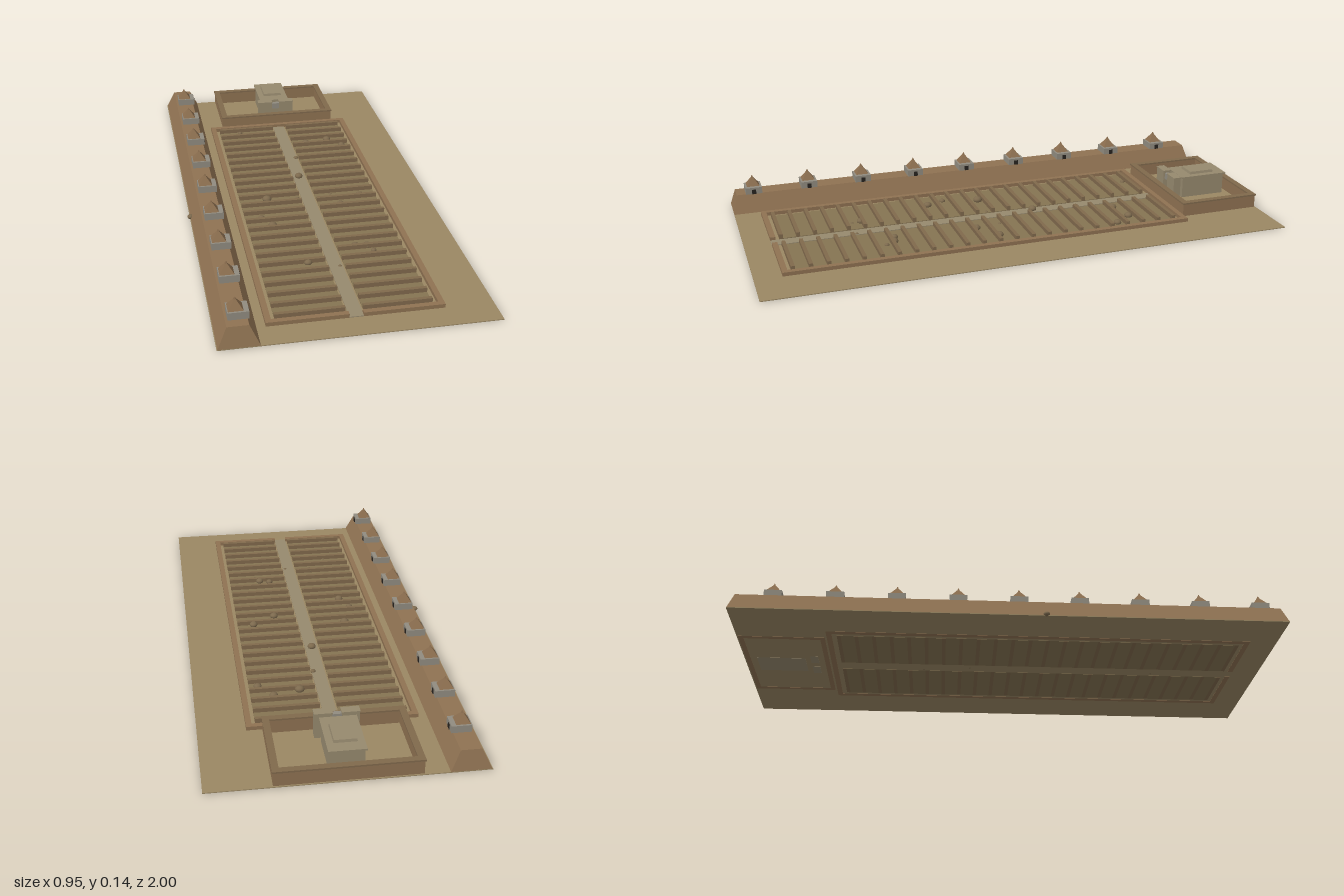
import * as THREE from 'three';

const mat = (color) => new THREE.MeshStandardMaterial({ color });

export function createModel() {
  const model = new THREE.Group();
  const earth = mat(0x9a8763), rammed = mat(0x8f7252), darkEarth = mat(0x80694c);
  const floor = mat(0x857452), stone = mat(0x96896e), grey = mat(0x918c80);
  const roofBrown = mat(0x8a6d4e), dark = mat(0x26221e), rockMat = mat(0x7d6a4e);

  const add = (parent, name, geometry, material, x, y, z) => {
    const mesh = new THREE.Mesh(geometry, material);
    mesh.name = name;
    mesh.position.set(x, y, z);
    parent.add(mesh);
    return mesh;
  };
  // box given by its ranges on each axis
  const block = (parent, name, material, [x0, x1], [y0, y1], [z0, z1]) =>
    add(parent, name, new THREE.BoxGeometry(x1 - x0, y1 - y0, z1 - z0), material,
      (x0 + x1) / 2, (y0 + y1) / 2, (z0 + z1) / 2);
  // box whose top is pulled in on all four sides
  const tapered = (parent, name, material, w, h, d, inX, inZ, x, y, z) => {
    const g = new THREE.BoxGeometry(w, h, d);
    const p = g.attributes.position;
    for (let i = 0; i < p.count; i++) {
      if (p.getY(i) > 0) {
        p.setX(i, p.getX(i) - Math.sign(p.getX(i)) * inX);
        p.setZ(i, p.getZ(i) - Math.sign(p.getZ(i)) * inZ);
      }
    }
    g.computeVertexNormals();
    return add(parent, name, g, material, x, y + h / 2, z);
  };
  const group = (name) => {
    const g = new THREE.Group();
    g.name = name;
    model.add(g);
    return g;
  };

  block(model, 'ground', earth, [-0.466, 0.472], [0.001, 0.004], [-1, 1]);

  // long rampart with a row of watchtowers
  const rampart = group('rampart');
  tapered(rampart, 'rampartWall', rammed, 0.138, 0.07, 2, 0.033, 0.018, -0.395, 0.003, 0);
  for (let i = 0; i < 9; i++) {
    const tower = new THREE.Group();
    tower.name = 'watchtower';
    tower.position.set(-0.395, 0.073, -0.851 + i * 0.2206);
    rampart.add(tower);
    block(tower, 'towerBody', grey, [-0.028, 0.042], [0, 0.026], [-0.032, 0.032]);
    block(tower, 'towerDoor', dark, [0.038, 0.0445], [0, 0.018], [-0.008, 0.008]);
    tapered(tower, 'towerRoof', roofBrown, 0.05, 0.032, 0.05, 0.022, 0.022, 0, 0.026, 0);
    tapered(tower, 'towerFinial', roofBrown, 0.008, 0.008, 0.008, 0.003, 0.003, 0, 0.057, 0);
  }

  // pit: rim, floor strips, partition walls and centre path
  const pit = group('pit');
  const cx = 0.004;
  for (const s of [-1, 1]) {
    const span = (a, b) => (s > 0 ? [cx + a, cx + b] : [cx - b, cx - a]);
    block(pit, 'sideRim', rammed, span(0.28, 0.3), [0, 0.018], [-0.67, 0.9]);
    block(pit, 'frontRim', rammed, span(0.024, 0.28), [0, 0.018], [0.88, 0.9]);
    const rows = 23, start = -0.625, pitch = 0.0645;
    for (let i = 0; i <= rows; i++) {
      const z = start + i * pitch;
      block(pit, 'partitionWall', darkEarth, span(0.03, 0.266), [0, 0.023], [z - 0.007, z + 0.007]);
      if (i < rows) {
        block(pit, 'trenchFloor', floor, span(0.03, 0.266), [0, 0.007], [z + 0.007, z + pitch - 0.007]);
      }
    }
  }
  block(pit, 'backRim', rammed, [cx - 0.28, cx + 0.28], [0, 0.018], [-0.67, -0.65]);
  block(pit, 'centrePath', stone, [cx - 0.024, cx + 0.024], [0.002, 0.007], [-0.65, 0.9]);

  // walled court, open to the sky
  const court = group('court');
  const walls = [
    ['courtBackWall', -0.241, 0.249, -0.995, -0.977],
    ['courtFrontWall', -0.241, 0.249, -0.695, -0.677],
    ['courtRightWall', -0.241, -0.223, -0.977, -0.695],
    ['courtLeftWall', 0.231, 0.249, -0.977, -0.695],
  ];
  for (const [name, x0, x1, z0, z1] of walls) {
    block(court, name, rammed, [x0, x1], [0, 0.053], [z0, z1]);
    block(court, name + 'Cap', darkEarth, [x0 - 0.003, x1 + 0.003], [0.053, 0.059], [z0 - 0.003, z1 + 0.003]);
  }

  // hall inside the court, stepped up to a small upper platform
  const hall = group('hall');
  block(hall, 'hallBody', stone, [cx - 0.058, cx + 0.058], [0, 0.086], [-0.952, -0.768]);
  block(hall, 'hallRoof', stone, [cx - 0.064, cx + 0.064], [0.086, 0.093], [-0.96, -0.76]);
  tapered(hall, 'upperPlatform', stone, 0.08, 0.01, 0.104, 0.002, 0.002, cx, 0.093, -0.862);

  // gate in front of the hall
  const gate = group('gate');
  for (const s of [-1, 1]) {
    block(gate, 'gateTower', stone, [cx + s * 0.047 - 0.03, cx + s * 0.047 + 0.03], [0, 0.095], [-0.748, -0.718]);
    block(gate, 'gateTowerCap', stone, [cx + s * 0.047 - 0.032, cx + s * 0.047 + 0.032], [0.095, 0.1], [-0.75, -0.716]);
  }
  block(gate, 'gateLintel', grey, [cx - 0.017, cx + 0.017], [0.065, 0.09], [-0.742, -0.724]);

  // scattered boulders: x, z, radius
  const boulders = [
    [-0.175, -0.607, 0.010], [0.09, -0.442, 0.018], [0.187, -0.469, 0.016], [0.238, -0.4, 0.015],
    [0.023, -0.315, 0.010], [0.002, -0.135, 0.016], [-0.157, 0.045, 0.018], [0.207, 0.072, 0.016],
    [0.118, 0.136, 0.016], [-0.2, 0.183, 0.012], [-0.168, 0.252, 0.016], [0.102, 0.454, 0.014],
    [0.143, 0.464, 0.016], [0.16, 0.496, 0.01], [-0.089, 0.543, 0.015], [-0.089, 0.577, 0.007],
    [0.018, 0.58, 0.007], [-0.464, 0.125, 0.012], [-0.037, 0.046, 0.007], [0.097, 0.035, 0.007],
    [-0.232, 0.088, 0.007], [0.164, -0.114, 0.007], [-0.164, 0.66, 0.007], [0.07, 0.79, 0.007],
  ];
  const rocks = group('boulders');
  boulders.forEach(([x, z, r], i) => {
    const rock = add(rocks, 'boulder', new THREE.IcosahedronGeometry(r, 1), rockMat, x, r * 0.75, z);
    rock.scale.y = 0.75;
    rock.rotation.y = i * 1.3;
  });
  return model;
}
